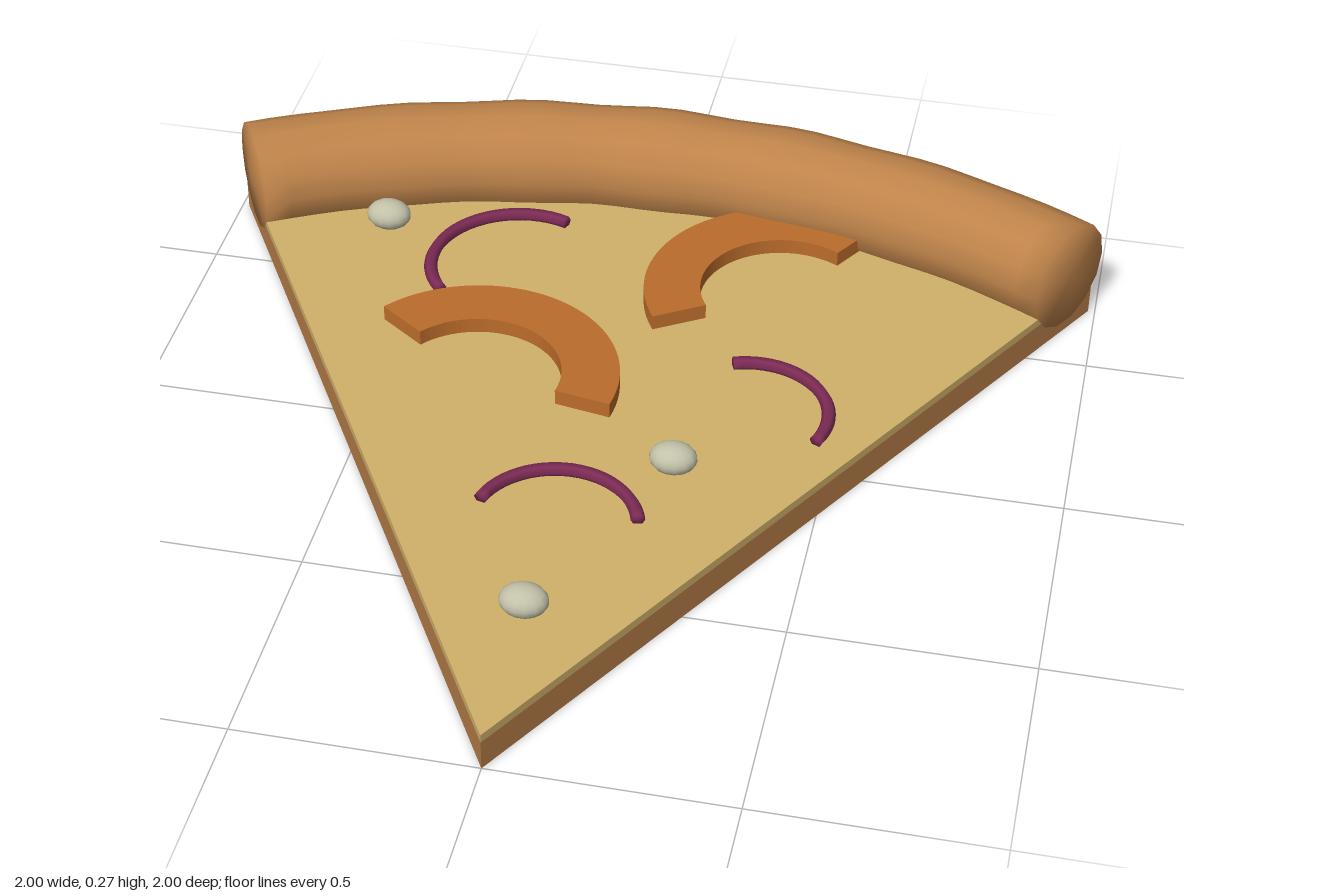
import * as THREE from 'three';
import { mergeGeometries, mergeVertices } from 'three/addons/utils/BufferGeometryUtils.js';

const mat = (name, color) => {
  const m = new THREE.MeshStandardMaterial({ color });
  m.name = name;
  return m;
};
const rad = THREE.MathUtils.degToRad;

export function createModel() {
  const crust = mat('baked crust', 0xbe834a);
  const dough = mat('dough', 0xb67d48);
  const cheese = mat('cheese', 0xd2b16a);
  const pepper = mat('orange pepper', 0xbb6c2b);
  const onion = mat('red onion', 0x7d2b55);
  const olive = mat('pale olive', 0xc2c2aa);

  const model = new THREE.Group();
  model.name = 'pizzaSlice';

  // Flat pieces are drawn in XY, then laid down so shape +y points to the back
  const lay = (name, geometry, material, x, y, z) => {
    const mesh = new THREE.Mesh(geometry, material);
    mesh.name = name;
    mesh.rotation.x = -Math.PI / 2;
    mesh.position.set(x, y, z);
    model.add(mesh);
  };

  // Sixty-degree wedges with the tip at the front
  const wedge = (radius, depth) => {
    const s = new THREE.Shape();
    s.moveTo(0, 0);
    s.lineTo(radius * Math.cos(rad(60)), radius * Math.sin(rad(60)));
    s.absarc(0, 0, radius, rad(60), rad(120), false);
    s.lineTo(0, 0);
    return new THREE.ExtrudeGeometry(s, { depth, bevelEnabled: false, curveSegments: 32 });
  };
  lay('base', wedge(1.97, 0.067), dough, 0, 0, 1);
  lay('cheeseLayer', wedge(1.85, 0.019), cheese, 0, 0.067, 1);

  // Arc of round tube from angle a to angle b in degrees, with slightly domed ends
  const tubeArc = (R, r, a, b, sides, steps, wobble, dome) => {
    const arc = rad(b - a);
    const tube = new THREE.TorusGeometry(R, r, sides, steps, arc);
    const p = tube.attributes.position;
    for (let i = 0; i < p.count; i++) {
      const t = Math.atan2(p.getY(i), p.getX(i));
      const k = 1 + wobble * Math.sin((Math.PI * t) / arc) * Math.sin(t * 38);
      const ring = R + (Math.hypot(p.getX(i), p.getY(i)) - R) * k;
      p.setXYZ(i, ring * Math.cos(t), ring * Math.sin(t), p.getZ(i) * k);
    }
    const caps = [[0, 1], [arc, -1]].map(([angle, side]) => {
      const cap = new THREE.CircleGeometry(r, sides);
      cap.attributes.position.setZ(0, dome);
      cap.rotateX((side * Math.PI) / 2);
      cap.translate(R, 0, 0);
      cap.rotateZ(angle);
      return cap;
    });
    // Weld the ends to the tube so the shading runs smoothly round them
    const all = mergeGeometries([tube, ...caps]);
    all.deleteAttribute('uv');
    all.deleteAttribute('normal');
    const geo = mergeVertices(all, 1e-4);
    geo.computeVertexNormals();
    geo.rotateZ(rad(a));
    return geo;
  };

  // Puffy crust along the back
  lay('crust', tubeArc(1.875, 0.125, 60, 120, 14, 32, 0.025, 0.008), crust, 0, 0.146, 1);

  // Onion strips
  [
    [0, 0.38, 0.17, 15, 165],
    [0.32, -0.06, 0.17, -24, 111],
    [-0.28, -0.48, 0.195, 68, 222],
  ].forEach(([x, z, R, a, b]) =>
    lay('onionStrip', tubeArc(R, 0.015, a, b, 6, 24, 0, 0), onion, x, 0.096, z));

  // Pepper half rings
  [
    [-0.27, -0.045, -10, 144],
    [0.325, -0.48, 59, 212],
  ].forEach(([x, z, a, b]) => {
    const s = new THREE.Shape();
    s.absarc(0, 0, 0.31, rad(a), rad(b), false);
    s.absarc(0, 0, 0.185, rad(b), rad(a), true);
    s.closePath();
    const geo = new THREE.ExtrudeGeometry(s, { depth: 0.04, bevelEnabled: false, curveSegments: 20 });
    lay('pepperSlice', geo, pepper, x, 0.081, z);
  });

  // Small olives
  [[0, 0.645], [0.2, 0.15], [-0.605, -0.58]].forEach(([x, z]) => {
    const geo = new THREE.SphereGeometry(1, 14, 10);
    geo.scale(0.051, 0.034, 0.041);
    const mesh = new THREE.Mesh(geo, olive);
    mesh.name = 'olive';
    mesh.position.set(x, 0.117, z);
    model.add(mesh);
  });

  return model;
}
